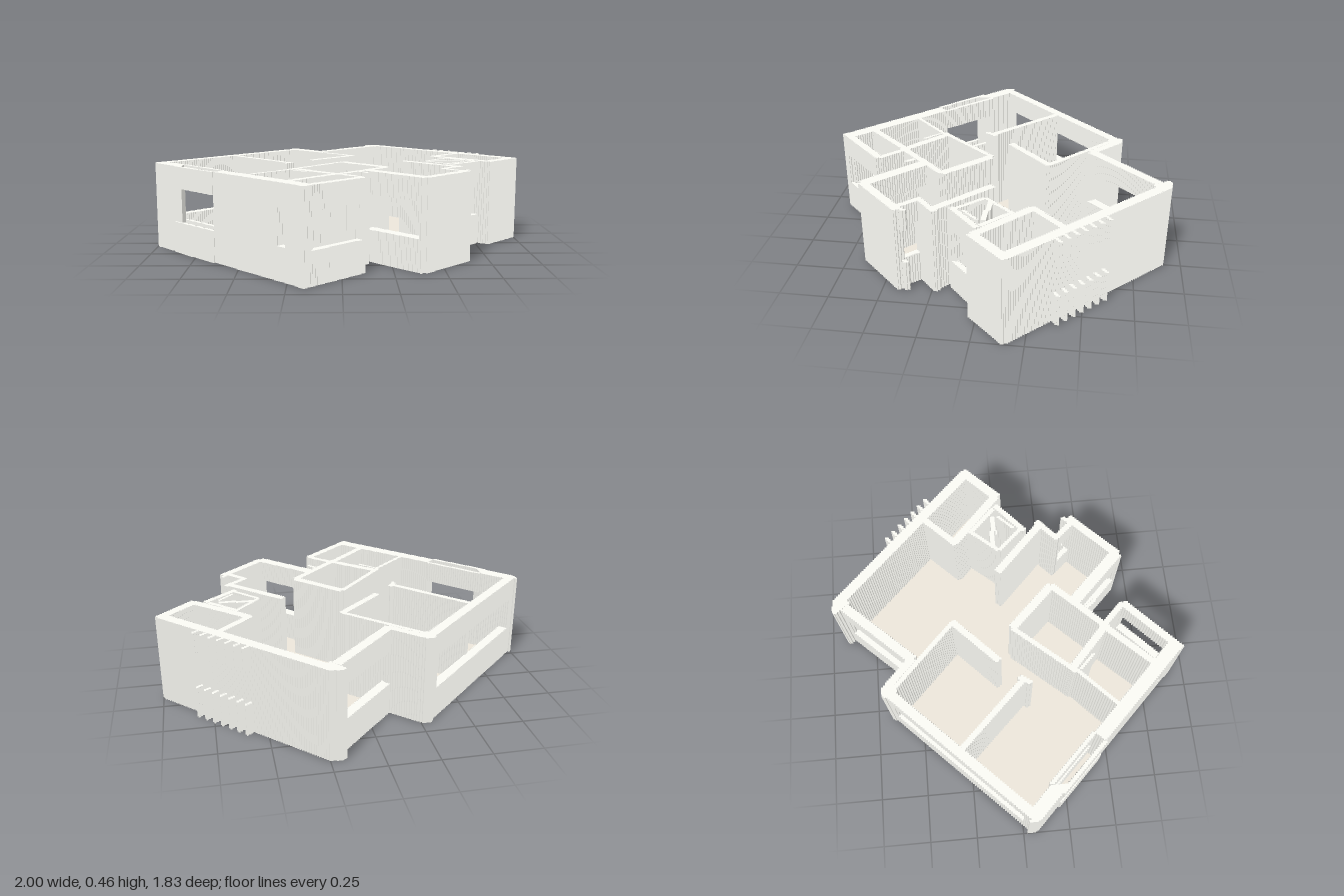
import * as THREE from 'three';

const H = 0.46, SILL = 0.165, HEAD = 0.345, STEP = 0.01;
const offWhite = new THREE.MeshStandardMaterial({ color: 0xfafaf4, flatShading: true });
const sand = new THREE.MeshStandardMaterial({ color: 0xece6da, flatShading: true });

// Turns the slanted edges of a plan outline into small axis-aligned stairs
function stepped(pts) {
  const out = [];
  pts.forEach(([x, z], i) => {
    const [x2, z2] = pts[(i + 1) % pts.length];
    const dx = x2 - x, dz = z2 - z;
    const n = Math.round(Math.min(Math.abs(dx), Math.abs(dz)) / STEP);
    out.push([x, z]);
    for (let k = 0; k < n; k++) {
      const mid = x + dx * (k + 0.5) / n;
      out.push([mid, z + dz * k / n], [mid, z + dz * (k + 1) / n]);
    }
  });
  return out.map(([x, z]) => new THREE.Vector2(x, -z));
}

// Upright prism between two heights from a plan outline of [x, z] points
function prism(name, pts, y0, y1, material, hole) {
  const shape = new THREE.Shape(stepped(pts));
  if (hole) shape.holes.push(new THREE.Path(stepped(hole)));
  const geo = new THREE.ExtrudeGeometry(shape, { depth: y1 - y0, bevelEnabled: false });
  geo.rotateX(-Math.PI / 2);
  const mesh = new THREE.Mesh(geo, material);
  mesh.position.y = y0;
  mesh.name = name;
  return mesh;
}

// Straight wall on a centre line; openings are [from, to] fractions of its length
function wall(name, [x1, z1], [x2, z2], t, openings = []) {
  const g = new THREE.Group();
  g.name = name;
  const dx = x2 - x1, dz = z2 - z1, len = Math.hypot(dx, dz);
  const ox = -dz / len * t / 2, oz = dx / len * t / 2;
  const block = (part, a, b, y0, y1) => {
    if (b - a < 0.001) return;
    const corner = (f, s) => [x1 + dx * f + ox * s, z1 + dz * f + oz * s];
    g.add(prism(part, [corner(a, 1), corner(b, 1), corner(b, -1), corner(a, -1)], y0, y1, offWhite));
  };
  let at = 0;
  for (const [a, b] of openings) {
    block('wallPanel', at, a, 0, H);
    block('windowSill', a, b, 0, SILL);
    block('windowLintel', a, b, HEAD, H);
    at = b;
  }
  block('wallPanel', at, 1, 0, H);
  return g;
}

export function createModel() {
  const house = new THREE.Group();
  house.name = 'house';

  // Floor slab
  house.add(prism('floor', [
    [-0.96, 0.05], [-0.28, -0.62], [-0.13, -0.49], [0.24, -0.86], [0.96, -0.15], [0.8, 0],
    [0.55, -0.23], [0.6, -0.15], [0.71, -0.02], [0.59, 0.12], [0.47, 0], [0.45, 0.08],
    [0.61, 0.24], [0.51, 0.32], [0.6, 0.42], [0.4, 0.62], [0.13, 0.36], [0.2, 0.28],
    [-0.01, 0.51], [0.08, 0.63], [-0.17, 0.88],
  ], 0, 0.008, sand, [[0.64, -0.16], [0.69, -0.23], [0.73, -0.22], [0.72, -0.17], [0.77, -0.12], [0.74, -0.08], [0.7, -0.11]]));

  // Corner pillars, and the end of the long wall with its window jamb
  const pillars = [
    [[0.17, -0.9], [0.19, -0.915], [0.25, -0.91], [0.3, -0.86], [0.23, -0.82]],
    [[-0.315, -0.65], [-0.3, -0.67], [-0.26, -0.67], [-0.21, -0.62], [-0.28, -0.59]],
    [[-1, 0.02], [-0.95, 0.04], [-0.92, 0.06], [-0.96, 0.105], [-1, 0.065]],
    [[-0.995, 0.075], [-0.945, 0.025], [-0.83, 0.14], [-0.83, 0.24]],
  ];
  for (const p of pillars) house.add(prism('cornerPillar', p, 0, H, offWhite));

  // Outer walls
  const outer = [
    ['leftWindowWall', [-0.965, 0.045], [-0.29, -0.63], 0.05, [[0.04, 0.96]]],
    ['backWindowWall', [-0.12, -0.5], [0.21, -0.85], 0.05, [[0.04, 0.94]]],
    ['backStepWall', [-0.25, -0.635], [-0.11, -0.5], 0.04],
    ['backWall', [0.23, -0.89], [0.975, -0.145], 0.055],
    ['frontLongWall', [-0.61, 0.415], [-0.155, 0.875], 0.07, [[0.74, 0.83]]],
    ['balconyFrontWall', [-0.185, 0.9], [0.1, 0.63], 0.04, [[0.12, 0.95]]],
    ['balconySideWall', [-0.03, 0.5], [0.1, 0.63], 0.03],
    ['baySideWindowWall', [0.13, 0.37], [0.4, 0.64], 0.06, [[0, 0.95]]],
    ['bayFrontWall', [0.39, 0.64], [0.635, 0.4], 0.045],
    ['bayNotchWall', [0.52, 0.32], [0.61, 0.42], 0.03, [[0.05, 0.9]]],
    ['bayReturnWall', [0.51, 0.33], [0.63, 0.22], 0.03],
    ['bayNotchPost', [0.61, 0.41], [0.64, 0.365], 0.02, [[0, 1]]],
    ['bathFrontWall', [0.985, -0.165], [0.8, 0.02], 0.05],
    ['bathSideWall', [0.81, 0.01], [0.54, -0.24], 0.045],
    ['shaftWindowWall', [0.58, 0.15], [0.75, 0], 0.03, [[0.08, 1]]],
  ];
  for (const w of outer) house.add(wall(...w));

  // Two skins with a cavity around the long wall's window
  for (const s of [-0.025, 0.025]) {
    house.add(wall('windowSkin', [-0.85 + s, 0.17 - s], [-0.61 + s, 0.415 - s], 0.02, [[0, 1]]));
  }

  // Partitions
  const inner = [
    ['bedroomPartition', [-0.61, -0.28], [-0.27, 0.07], 0.03],
    ['bedroomDoorJamb', [-0.3, 0.1], [-0.26, 0.04], 0.025],
    ['bedroomBackPartition', [-0.27, -0.61], [0.07, -0.28], 0.025],
    ['bedroomSidePartition', [0.075, -0.285], [-0.165, -0.055], 0.035],
    ['hallPartition', [0.01, 0.03], [0.235, 0.26], 0.045],
    ['hallEndPartition', [0.01, 0.03], [-0.26, 0.34], 0.025],
    ['hallFrontPartition', [-0.25, 0.31], [-0.01, 0.53], 0.04],
    ['hallSidePartition', [0.235, 0.26], [-0.02, 0.52], 0.035],
    ['hallDoorJamb', [0.09, 0.43], [0.13, 0.48], 0.02],
    ['frontRoomPartition', [-0.25, 0.34], [-0.46, 0.54], 0.02],
    ['frontRoomStub', [-0.25, 0.36], [-0.17, 0.44], 0.015],
    ['balconyPartition', [-0.02, 0.51], [-0.26, 0.76], 0.035],
    ['bayPartition', [0.34, -0.02], [0.62, 0.25], 0.04],
    ['bathPartition', [0.53, -0.23], [0.7, -0.4], 0.035],
    ['shaftPartition', [0.47, 0], [0.6, 0.14], 0.02],
    ['shaftPartition', [0.47, 0], [0.6, -0.15], 0.02],
    ['shaftPartition', [0.59, -0.15], [0.73, -0.01], 0.025],
    ['shaftPartition', [0.5, -0.03], [0.68, -0.02], 0.025],
    ['shaftPartition', [0.6, 0.09], [0.68, 0.01], 0.015],
  ];
  for (const w of inner) house.add(wall(...w));

  // Row of short fins on the back wall, broken at window height
  for (let i = 0; i < 7; i++) {
    const x = 0.57 + i * 0.037, z = x - 1.155;
    house.add(wall('fin', [x, z], [x + 0.035, z - 0.027], 0.016, [[0, 1]]));
  }
  return house;
}
